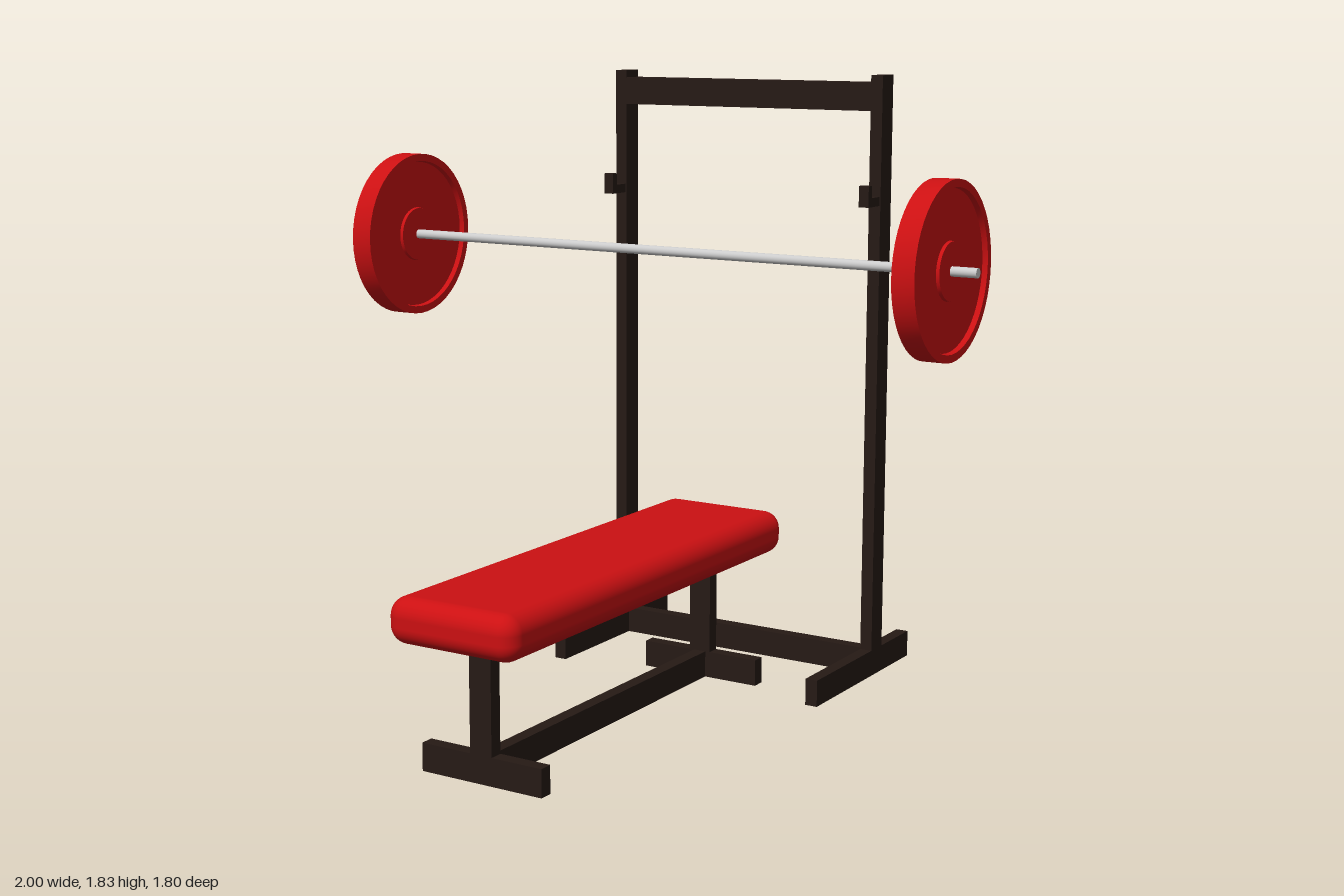
import * as THREE from 'three';
import { RoundedBoxGeometry } from 'three/addons/geometries/RoundedBoxGeometry.js';
import { toCreasedNormals } from 'three/addons/utils/BufferGeometryUtils.js';

export function createModel() {
  const model = new THREE.Group();
  model.name = 'weightBench';
  const frameMat = new THREE.MeshStandardMaterial({ color: 0x261a15 });
  const redMat = new THREE.MeshStandardMaterial({ color: 0xcc1012 });
  const steelMat = new THREE.MeshStandardMaterial({ color: 0xcccccc });

  const add = (parent, name, geometry, material, x = 0, y = 0, z = 0) => {
    const mesh = new THREE.Mesh(geometry, material);
    mesh.name = name;
    mesh.position.set(x, y, z);
    parent.add(mesh);
    return mesh;
  };
  // Frame tube given by its extents on each axis
  const tube = (parent, name, [x0, x1], [y0, y1], [z0, z1]) =>
    add(parent, name, new THREE.BoxGeometry(x1 - x0, y1 - y0, z1 - z0), frameMat,
      (x0 + x1) / 2, (y0 + y1) / 2, (z0 + z1) / 2);
  const group = (name) => {
    const g = new THREE.Group();
    g.name = name;
    model.add(g);
    return g;
  };

  // Rack: uprights on long feet, with bar hooks
  const rack = group('rack');
  for (const [side, s] of [['left', 1], ['right', -1]]) {
    const c = s * 0.446;
    const xs = [c - 0.019, c + 0.019];
    tube(rack, side + 'Upright', xs, [0.08, 1.83], [-0.713, -0.643]);
    tube(rack, side + 'RackFoot', xs, [0, 0.08], [-0.9, -0.285]);
    tube(rack, side + 'HookArm', [c - 0.016, c + 0.016], [1.447, 1.474], [-0.643, -0.57]);
    tube(rack, side + 'HookLip', [c - 0.016, c + 0.016], [1.474, 1.51], [-0.592, -0.57]);
  }
  tube(rack, 'topBeam', [-0.427, 0.427], [1.725, 1.808], [-0.713, -0.643]);
  tube(rack, 'bottomBeam', [-0.427, 0.427], [0, 0.08], [-0.698, -0.658]);

  // Bench: padded board on two posts, T-feet and a spine
  const bench = group('bench');
  add(bench, 'pad', new RoundedBoxGeometry(0.412, 0.13, 1.445, 6, 0.052), redMat, 0.004, 0.446, 0.175);
  for (const [end, z] of [['front', 0.75], ['rear', -0.385]]) {
    tube(bench, end + 'Post', [-0.018, 0.052], [0.08, 0.4], [z - 0.02, z + 0.02]);
    tube(bench, end + 'BenchFoot', [-0.178, 0.212], [0, 0.08], [z - 0.02, z + 0.02]);
  }
  tube(bench, 'spine', [-0.003, 0.037], [0, 0.08], [-0.365, 0.73]);

  // Barbell: bar and two dished plates
  const barbell = group('barbell');
  barbell.position.set(0, 1.334, -0.142);
  const bar = add(barbell, 'bar', new THREE.CylinderGeometry(0.014, 0.014, 2, 20), steelMat);
  bar.rotation.z = Math.PI / 2;

  // Plate half-profile (radius, height): hub, recessed web, rim
  const half = [[0.012, 0.027], [0.08, 0.027], [0.082, 0.018], [0.222, 0.018], [0.225, 0.033], [0.247, 0.033]];
  const profile = [
    ...half.map(([r, h]) => new THREE.Vector2(r, -h)),
    ...half.slice().reverse().map(([r, h]) => new THREE.Vector2(r, h)),
  ];
  const plateGeo = toCreasedNormals(new THREE.LatheGeometry(profile, 48), 0.6);
  for (const [side, s] of [['left', 1], ['right', -1]]) {
    const plate = add(barbell, side + 'Plate', plateGeo, redMat, s * 0.897);
    plate.rotation.z = Math.PI / 2;
  }
  return model;
}
